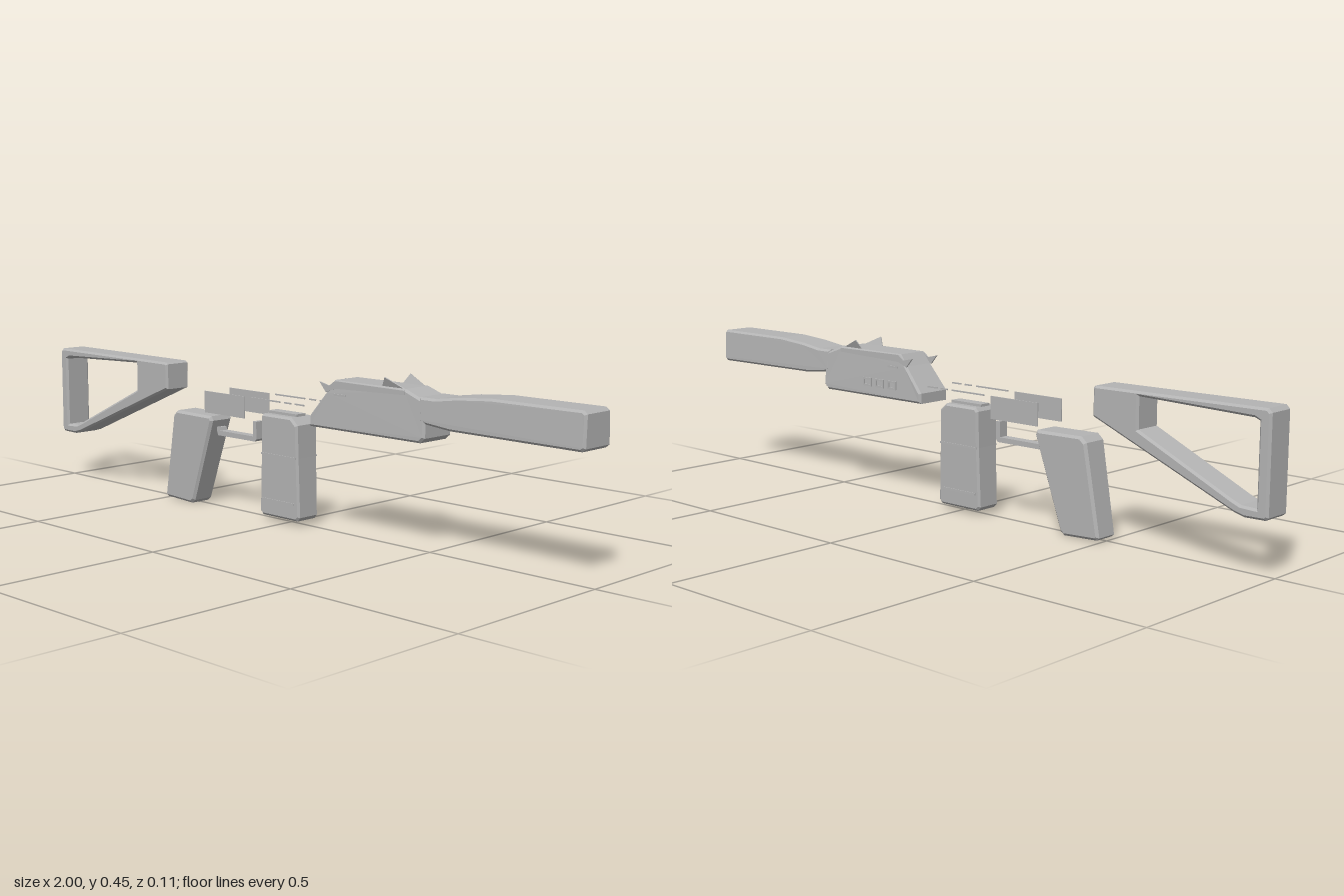
import * as THREE from 'three';

const grey = new THREE.MeshStandardMaterial({ color: 0xb4b4b4, side: THREE.DoubleSide });
grey.name = 'plain grey';

const path = (T, pts) => new T(pts.map(([x, y]) => new THREE.Vector2(x, y)));

// Side outline extruded across z with chamfered edges; widthAt(y) scales the width by height
function slab(name, pts, half, bevel = 0.006, hole = null, widthAt = null) {
  const shape = path(THREE.Shape, pts);
  if (hole) shape.holes.push(path(THREE.Path, hole));
  const geo = new THREE.ExtrudeGeometry(shape, {
    depth: 2 * (half - bevel), bevelEnabled: bevel > 0, bevelThickness: bevel,
    bevelSize: bevel, bevelOffset: -bevel, bevelSegments: 1,
  });
  geo.translate(0, 0, bevel - half);
  if (widthAt) {
    const p = geo.attributes.position;
    for (let i = 0; i < p.count; i++) p.setZ(i, p.getZ(i) * widthAt(p.getY(i)));
    geo.computeVertexNormals();
  }
  const mesh = new THREE.Mesh(geo, grey);
  mesh.name = name;
  return mesh;
}

function box(name, x0, x1, y0, y1, z, depth) {
  const mesh = new THREE.Mesh(new THREE.BoxGeometry(x1 - x0, y1 - y0, depth), grey);
  mesh.position.set((x0 + x1) / 2, (y0 + y1) / 2, z);
  mesh.name = name;
  return mesh;
}

export function createModel() {
  const model = new THREE.Group();
  model.name = 'explodedToy';
  const add = (...m) => model.add(...m);

  // Open frame stock
  add(slab('stock',
    [[-1, 0.152], [-0.992, 0.145], [-0.935, 0.144], [-0.905, 0.152], [-0.48, 0.328],
      [-0.48, 0.402], [-0.487, 0.407], [-0.99, 0.41], [-1, 0.4]],
    0.043, 0.006,
    [[-0.968, 0.17], [-0.968, 0.378], [-0.955, 0.384], [-0.622, 0.395], [-0.622, 0.312], [-0.9, 0.182], [-0.925, 0.172]]));

  // Leaning grip
  add(slab('grip',
    [[-0.5, 0.012], [-0.492, 0.005], [-0.385, 0], [-0.372, 0.01], [-0.287, 0.255],
      [-0.293, 0.268], [-0.44, 0.27], [-0.457, 0.255]],
    0.038, 0.007, null, (y) => 0.97 + 0.4 * y));

  // Trigger guard
  add(slab('triggerGuard',
    [[-0.292, 0.222], [-0.288, 0.211], [-0.135, 0.211], [-0.128, 0.218], [-0.128, 0.268],
      [-0.142, 0.268], [-0.142, 0.225], [-0.28, 0.225], [-0.283, 0.235], [-0.292, 0.235]],
    0.014, 0));

  // Magazine with a stepped base and a raised lip
  add(slab('magazine',
    [[-0.09, 0.025], [-0.08, 0.014], [0.055, 0.014], [0.065, 0.025], [0.06, 0.19],
      [0.058, 0.28], [0.035, 0.3], [-0.075, 0.3], [-0.083, 0.29], [-0.084, 0.19]],
    0.04, 0.006, null, (y) => 0.95 + 0.25 * y));
  add(box('magazineLip', -0.075, 0.035, 0.298, 0.307, 0, 0.034));

  // Handguard and barrel cover, with a narrow neck
  add(slab('barrelCover',
    [[0.5, 0.345], [0.52, 0.338], [0.6, 0.33], [0.985, 0.327], [0.995, 0.335], [0.995, 0.415],
      [0.985, 0.423], [0.72, 0.423], [0.62, 0.415], [0.55, 0.405], [0.5, 0.405]],
    0.053, 0.006, null, (y) => 1 - Math.max(0, y - 0.37) * 1.4));

  // Receiver body
  add(slab('receiver',
    [[0.12, 0.289], [0.505, 0.289], [0.52, 0.302], [0.52, 0.395], [0.45, 0.42],
      [0.205, 0.42], [0.18, 0.388], [0.12, 0.318]],
    0.055, 0.006, null, (y) => 1 - Math.max(0, y - 0.34) * 1.6));

  for (const s of [1, -1]) {
    // Side plates and the seam strips ahead of them
    add(box('sidePlate', -0.305, -0.14, 0.28, 0.342, s * 0.048, 0.003));
    for (const [a, b] of [[-0.115, 0.003], [0.02, 0.045], [0.06, 0.095]])
      add(box('seamStrip', a, b, 0.339, 0.343, s * 0.048, 0.003));

    // Magazine side bands
    add(box('magazineBand', -0.075, 0.048, 0.058, 0.064, s * 0.039, 0.004));
    add(box('magazineStep', -0.08, 0.056, 0.187, 0.192, s * 0.0405, 0.003));

    // Pointed rail at the top rear of the receiver
    const rail = slab('topRail',
      [[0.155, 0.412], [0.19, 0.404], [0.21, 0.418], [0.45, 0.416], [0.45, 0.405], [0.21, 0.398], [0.178, 0.386]],
      0.002, 0);
    rail.position.z = s * 0.049;
    add(rail);
    add(box('slot', 0.21, 0.25, 0.38, 0.385, s * 0.0525, 0.003));

    // Splayed sight ear
    const ear = slab('sightEar', [[0.365, 0], [0.385, 0.033], [0.455, 0], [0.43, -0.014], [0.39, -0.014]], 0.0015, 0);
    ear.position.set(0, 0.414, s * 0.038);
    ear.rotation.x = s * 0.38;
    add(ear);
  }

  // Three small ports on the rear side
  for (let i = 0; i < 3; i++)
    add(slabFrame(0.215 + i * 0.05));

  return model;
}

// Thin rectangular port surround
function slabFrame(x) {
  const port = slab('port',
    [[x, 0.318], [x + 0.034, 0.318], [x + 0.034, 0.342], [x, 0.342]], 0.002, 0,
    [[x + 0.005, 0.323], [x + 0.005, 0.337], [x + 0.029, 0.337], [x + 0.029, 0.323]]);
  port.position.z = -0.0555;
  return port;
}
